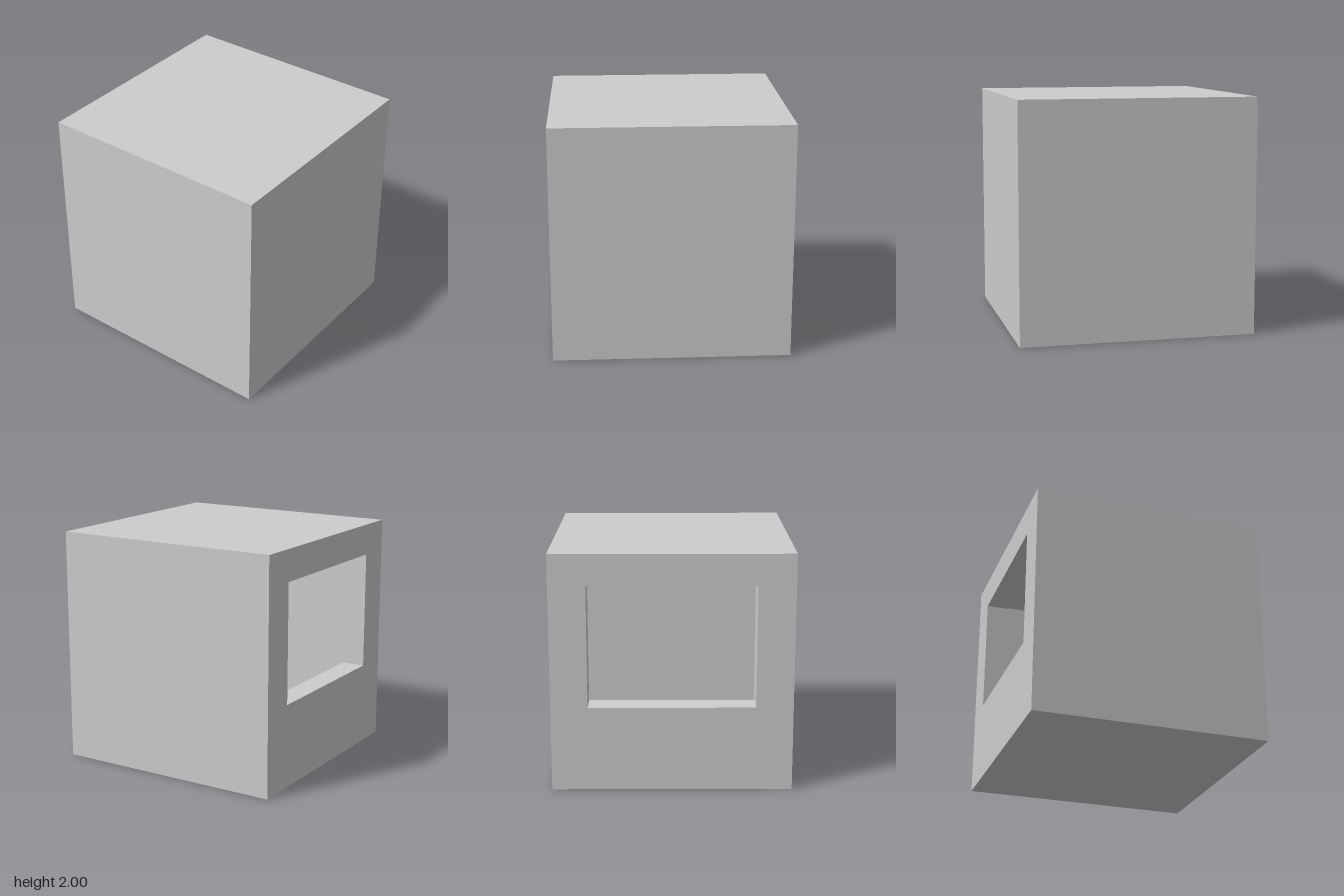
import * as THREE from 'three';

const WALL = 0.2;
const WIN = { x: 0.693, bottom: 0.715, top: 1.733 };

// Box keeping only its first faces (+x, -x, +y, -y, +z, -z), optionally facing inward
function openBox(w, h, d, faceCount, inward) {
  const geo = new THREE.BoxGeometry(w, h, d);
  const index = Array.from(geo.index.array).slice(0, faceCount * 6);
  geo.setIndex(inward ? index.reverse() : index);
  geo.clearGroups();
  if (inward) {
    const n = geo.attributes.normal;
    for (let i = 0; i < n.count; i++) n.setXYZ(i, -n.getX(i), -n.getY(i), -n.getZ(i));
  }
  return geo;
}

function rect(PathType, x, bottom, top) {
  const p = new PathType();
  p.moveTo(-x, bottom).lineTo(x, bottom).lineTo(x, top).lineTo(-x, top).closePath();
  return p;
}

// Flat wall face pierced by the window
function windowFace(x, bottom, top) {
  const shape = rect(THREE.Shape, x, bottom, top);
  shape.holes.push(rect(THREE.Path, WIN.x, WIN.bottom, WIN.top));
  return new THREE.ShapeGeometry(shape);
}

export function createModel() {
  const group = new THREE.Group();
  const grey = new THREE.MeshStandardMaterial({ color: 0xcccccc });
  grey.name = 'plain grey';

  const add = (name, geo, y, z) => {
    const mesh = new THREE.Mesh(geo, grey);
    mesh.name = name;
    mesh.position.set(0, y, z);
    group.add(mesh);
  };

  // Outer shell and hollow room, both open at the back
  const inner = 2 - 2 * WALL;
  add('outerShell', openBox(2, 2, 2, 5, false), 1, 0);
  add('roomInterior', openBox(inner, inner, inner, 5, true), 1, 0);

  // Both sides of the back wall
  add('backWallOutside', windowFace(1, 0, 2).rotateY(Math.PI), 0, -1);
  add('backWallInside', windowFace(1 - WALL, WALL, 2 - WALL), 0, -1 + WALL);

  // Sill, jambs and head of the window opening
  const reveal = openBox(2 * WIN.x, WIN.top - WIN.bottom, WALL, 4, true);
  add('windowReveal', reveal, (WIN.top + WIN.bottom) / 2, -1 + WALL / 2);

  return group;
}
